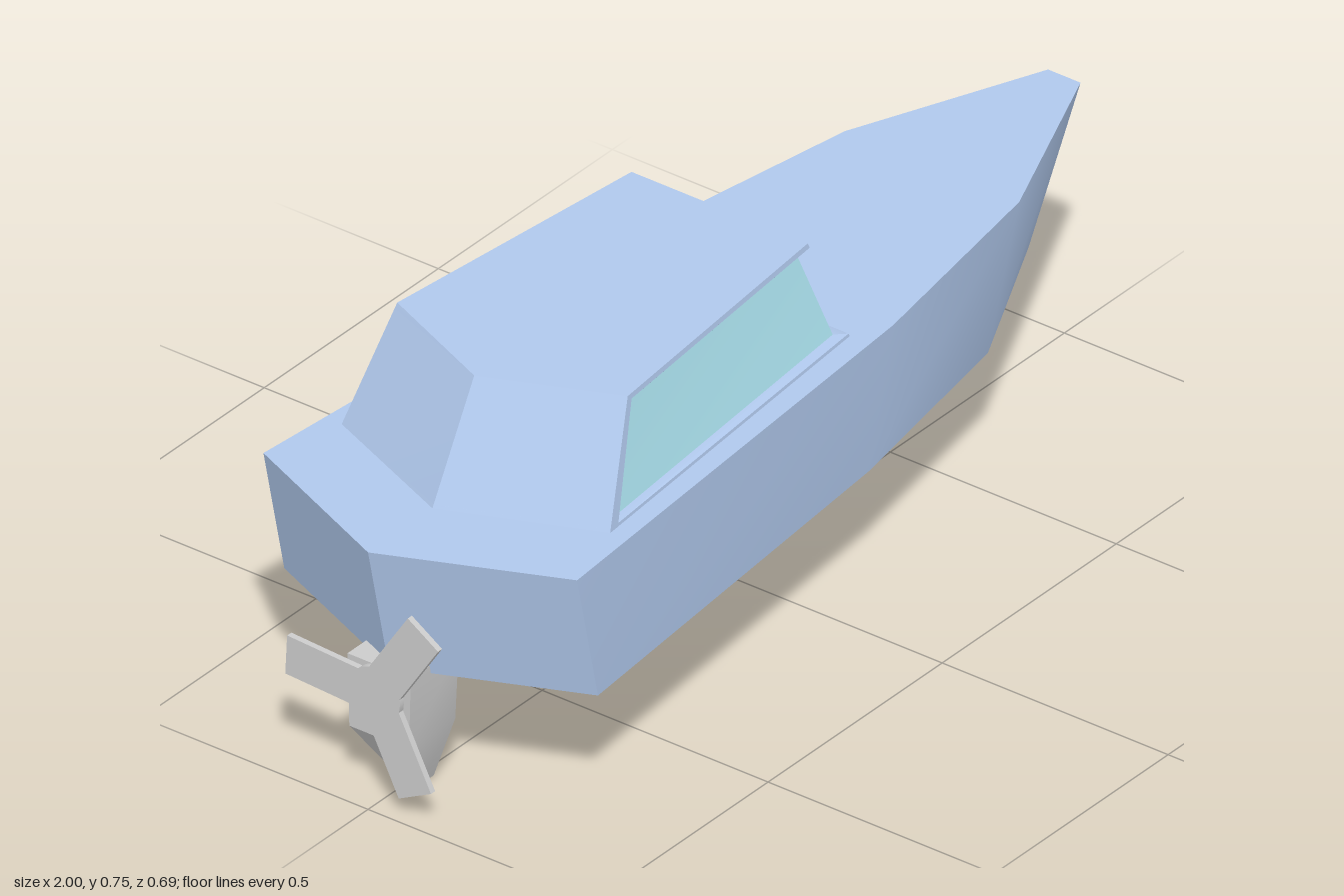
import * as THREE from 'three';
import { toCreasedNormals } from 'three/addons/utils/BufferGeometryUtils.js';

// Mirrors half an outline of [x, z] points (stern to bow on +z) into a closed ring at height y
function ring(half, y) {
  const other = half.filter(p => p[1] > 0).reverse().map(([x, z]) => [x, -z]);
  return [...half, ...other].map(([x, z]) => [x, y, z]);
}

// Skins matching rings from bottom to top and caps both ends
function loft(rings) {
  const n = rings[0].length, index = [];
  for (let r = 0; r < rings.length - 1; r++) {
    for (let i = 0; i < n; i++) {
      const a = r * n + i, b = r * n + (i + 1) % n;
      index.push(a, b, b + n, a, b + n, a + n);
    }
  }
  const top = (rings.length - 1) * n;
  for (let i = 1; i < n - 1; i++) {
    index.push(0, i + 1, i, top, top + i, top + i + 1);
  }
  const g = new THREE.BufferGeometry();
  g.setAttribute('position', new THREE.Float32BufferAttribute(rings.flat(2), 3));
  g.setIndex(index);
  return toCreasedNormals(g, 0.45);
}

export function createModel() {
  const boat = new THREE.Group();
  boat.name = 'motorBoat';
  const paint = new THREE.MeshStandardMaterial({ color: 0xb0c8ec });
  const glass = new THREE.MeshStandardMaterial({ color: 0xb0e8f5 });
  const metal = new THREE.MeshStandardMaterial({ color: 0xcccccc });
  const add = (name, geometry, material, parent = boat) => {
    const mesh = new THREE.Mesh(geometry, material);
    mesh.name = name;
    parent.add(mesh);
    return mesh;
  };

  // Hull: pointed stern, blunt bow, ends raked inward towards the keel
  const keel = [[-0.94, 0], [-0.79, 0.347], [0.09, 0.268], [0.53, 0.193], [0.85, 0.036]];
  const deck = [[-1, 0], [-0.85, 0.347], [0.16, 0.268], [0.62, 0.193], [1, 0.036]];
  add('hull', loft([ring(keel, 0.263), ring(deck, 0.53)]), paint);

  // Cabin outlines taper linearly from the deck to the roof
  const base = 0.53, roofTop = 0.745;
  const slice = (low, high, y, inset = [[0, 0], [0, 0], [0, 0]]) => {
    const t = (y - base) / (roofTop - base);
    return ring(low.map(([x, z], i) => [
      x + (high[i][0] - x) * t + inset[i][0],
      z + (high[i][1] - z) * t + inset[i][1],
    ]), y);
  };
  const foot = [[-0.815, 0], [-0.69, 0.297], [0.085, 0.23]];
  const head = [[-0.695, 0], [-0.585, 0.255], [0.01, 0.195]];
  const recess = [[0.03, 0], [0.02, -0.012], [-0.026, -0.012]];
  const outer = y => slice(foot, head, y);
  const inner = y => slice(foot, head, y, recess);

  const cabin = new THREE.Group();
  cabin.name = 'cabin';
  boat.add(cabin);
  add('windowSill', loft([outer(base), outer(0.536), inner(0.543)]), paint, cabin);
  add('windows', loft([inner(0.54), inner(0.727)]), glass, cabin);
  add('roof', loft([inner(0.725), outer(0.735), outer(roofTop)]), paint, cabin);

  // Solid rear of the cabin, ending in the rear window posts
  const rearFoot = [[-0.815, 0], [-0.69, 0.297], [-0.665, 0.295], [-0.65, 0.28]];
  const rearHead = [[-0.695, 0], [-0.585, 0.255], [-0.57, 0.2535], [-0.558, 0.24]];
  add('cabinRear', loft([base, roofTop].map(y =>
    slice(rearFoot, rearHead, y, rearFoot.map(() => [0, 0])))), paint, cabin);

  // Drive leg under the stern
  const legRing = (back, front, z, y) => ring([[back, z], [front, z]], y);
  add('driveLeg', loft([
    legRing(-0.88, -0.84, 0.022, 0),
    legRing(-0.968, -0.835, 0.066, 0.132),
    legRing(-0.968, -0.83, 0.07, 0.28),
  ]), metal);

  // Three-bladed propeller
  const propeller = new THREE.Group();
  propeller.name = 'propeller';
  propeller.position.set(-0.975, 0.226, 0);
  boat.add(propeller);
  const bladeShape = new THREE.BoxGeometry(0.012, 0.196, 0.08).translate(0, 0.098, 0);
  for (let i = 0; i < 3; i++) {
    const blade = add('propellerBlade', bladeShape, metal, propeller);
    blade.rotation.x = THREE.MathUtils.degToRad(3 + i * 120 - 90);
  }
  add('propellerHub', new THREE.CylinderGeometry(0.056, 0.056, 0.012, 24).rotateZ(Math.PI / 2), metal, propeller);

  return boat;
}
